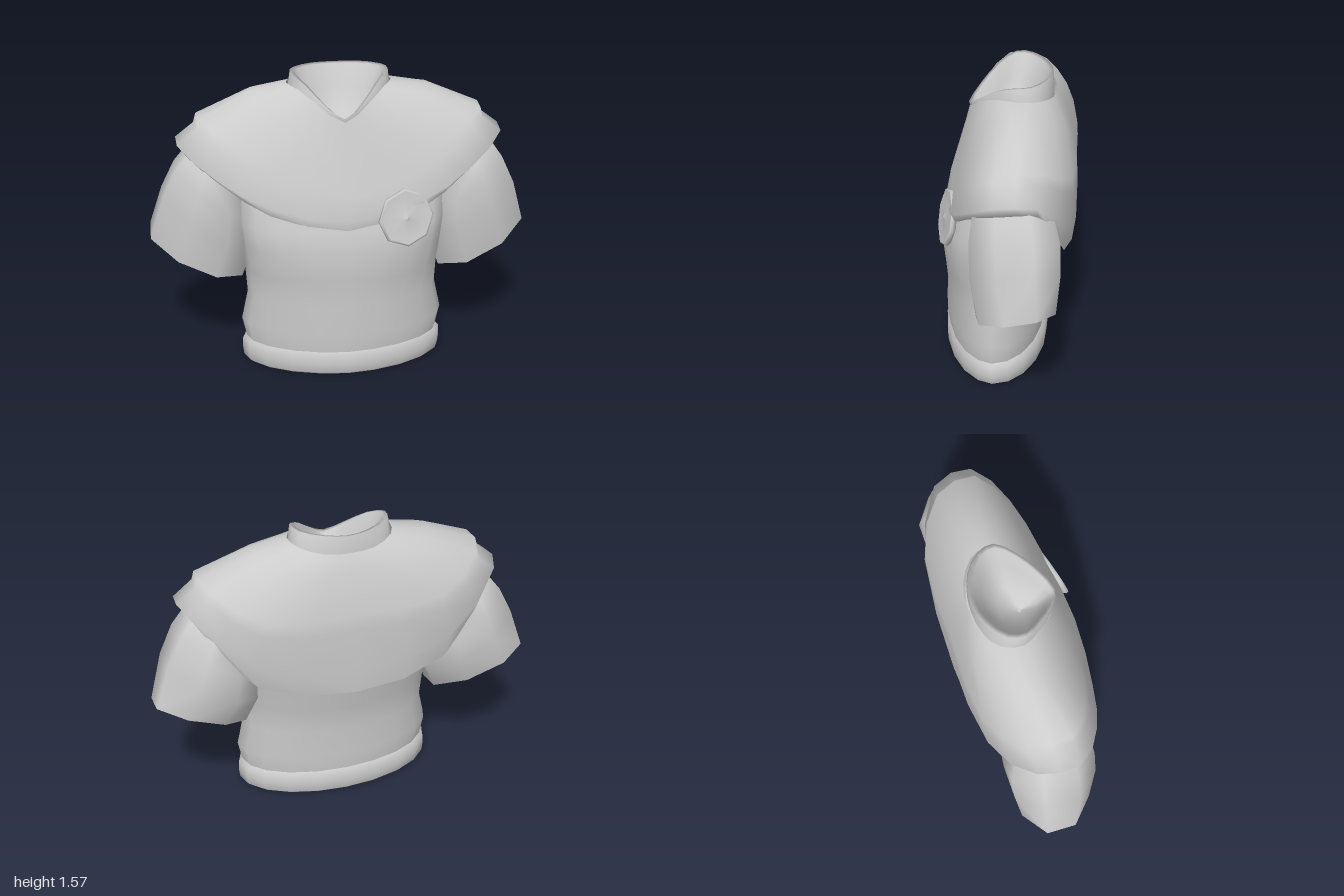
import * as THREE from 'three';

const V = (x, y, z) => new THREE.Vector3(x, y, z);

// Skin closed rings of equal length; capped ends get their own flat vertices.
function loft(rings, capStart = false, capEnd = false) {
  const pos = [], idx = [], n = rings[0].length;
  rings.forEach(r => r.forEach(p => pos.push(p.x, p.y, p.z)));
  for (let i = 0; i < rings.length - 1; i++) {
    for (let j = 0; j < n; j++) {
      const k = (j + 1) % n, a = i * n, b = a + n;
      idx.push(a + j, a + k, b + k, a + j, b + k, b + j);
    }
  }
  const cap = (ring, flip) => {
    const base = pos.length / 3, c = V(0, 0, 0);
    ring.forEach(p => { pos.push(p.x, p.y, p.z); c.addScaledVector(p, 1 / n); });
    pos.push(c.x, c.y, c.z);
    for (let j = 0; j < n; j++) {
      const k = base + (j + 1) % n;
      idx.push(base + n, flip ? k : base + j, flip ? base + j : k);
    }
  };
  if (capStart) cap(rings[0], true);
  if (capEnd) cap(rings[rings.length - 1], false);

  // Turn the faces outward when the enclosed volume comes out negative.
  const at = i => V(pos[i * 3], pos[i * 3 + 1] - 0.7, pos[i * 3 + 2]);
  let volume = 0;
  for (let i = 0; i < idx.length; i += 3) volume += at(idx[i]).dot(at(idx[i + 1]).cross(at(idx[i + 2])));
  if (volume < 0) idx.reverse();

  const g = new THREE.BufferGeometry();
  g.setAttribute('position', new THREE.Float32BufferAttribute(pos, 3));
  g.setIndex(idx);
  g.computeVertexNormals();
  return g;
}

// Half outline from front centre to back centre, mirrored and smoothed.
function mirroredRing(half) {
  const right = half.map(p => V(...p));
  const left = right.slice(1, -1).reverse().map(p => V(-p.x, p.y, p.z));
  const curve = new THREE.CatmullRomCurve3([...right, ...left], true);
  return Array.from({ length: 24 }, (_, i) => curve.getPoint(i / 24));
}

// Trunk section: height, half width, front z, back z, fullness of the front.
function trunkRing([y, w, front, back, full = 1.8]) {
  const c = (front + back) / 2, d = (front - back) / 2;
  return Array.from({ length: 20 }, (_, i) => {
    const a = i / 20 * Math.PI * 2, e = Math.cos(a) > 0 ? 2 / full : 1;
    const soft = v => Math.sign(v) * Math.abs(v) ** e;
    return V(soft(Math.sin(a)) * w, y, c + soft(Math.cos(a)) * d);
  });
}

export function createModel() {
  const group = new THREE.Group();
  const solid = new THREE.MeshStandardMaterial({ color: 0xcccccc });
  const open = new THREE.MeshStandardMaterial({ color: 0xcccccc, side: THREE.DoubleSide });
  const add = (name, geometry, material = solid) => {
    const mesh = new THREE.Mesh(geometry, material);
    mesh.name = name;
    group.add(mesh);
    return mesh;
  };

  // Trunk of the shirt
  add('torso', loft([
    [0.1, 0.51, 0.325, -0.19], [0.24, 0.54, 0.34, -0.205], [0.4, 0.505, 0.33, -0.2, 1.9],
    [0.55, 0.515, 0.34, -0.225, 2.1], [0.7, 0.53, 0.35, -0.26, 2.4], [0.82, 0.545, 0.325, -0.28, 2.6],
    [1.0, 0.54, 0.275, -0.29, 2.5], [1.15, 0.48, 0.215, -0.27, 2.4], [1.22, 0.38, 0.17, -0.23, 2],
  ].map(trunkRing), true, true));

  // Thick band around the bottom
  add('hemBand', loft([
    [0, 0.515, 0.325, -0.195], [0.015, 0.535, 0.34, -0.21], [0.06, 0.54, 0.343, -0.213],
    [0.115, 0.538, 0.342, -0.212], [0.14, 0.505, 0.32, -0.188],
  ].map(trunkRing), true, true));

  // Shoulder cape, neck edge to hem
  add('shoulderCape', loft([
    [[0, 1.37, 0.2], [0.13, 1.45, 0.14], [0.22, 1.5, 0.04], [0.27, 1.51, -0.05], [0.24, 1.5, -0.15], [0.13, 1.48, -0.225], [0, 1.475, -0.24]],
    [[0, 1.2, 0.245], [0.2, 1.3, 0.2], [0.38, 1.42, 0.1], [0.46, 1.48, -0.03], [0.43, 1.46, -0.17], [0.26, 1.39, -0.29], [0, 1.38, -0.295]],
    [[0, 1.0, 0.305], [0.32, 1.12, 0.24], [0.56, 1.26, 0.16], [0.73, 1.36, 0.03], [0.7, 1.34, -0.18], [0.46, 1.2, -0.33], [0, 1.18, -0.345]],
    [[0, 0.97, 0.31], [0.34, 1.07, 0.25], [0.59, 1.21, 0.175], [0.74, 1.31, 0.04], [0.72, 1.29, -0.18], [0.47, 1.13, -0.335], [0, 1.1, -0.35]],
    [[0, 0.88, 0.328], [0.4, 0.96, 0.277], [0.66, 1.1, 0.195], [0.84, 1.23, 0.04], [0.81, 1.22, -0.17], [0.51, 0.95, -0.325], [0, 0.86, -0.355]],
    [[0, 0.83, 0.322], [0.39, 0.91, 0.262], [0.62, 1.05, 0.175], [0.79, 1.16, 0.03], [0.76, 1.15, -0.17], [0.5, 0.82, -0.295], [0, 0.73, -0.35]],
  ].map(mirroredRing)), open);

  // Standing collar with a V front and a bowl-shaped inside
  const lip = mirroredRing([[0, 1.39, 0.205], [0.1, 1.45, 0.15], [0.19, 1.53, 0.06], [0.25, 1.57, -0.03], [0.23, 1.57, -0.12], [0.12, 1.565, -0.2], [0, 1.56, -0.225]]);
  const inset = (s, floor, slope) => lip.map(p => V(p.x * s, floor + (p.y - 1.39) * slope, (p.z - 0.02) * s + 0.02));
  add('collar', loft([
    mirroredRing([[0, 1.35, 0.19], [0.13, 1.43, 0.13], [0.23, 1.48, 0.03], [0.265, 1.48, -0.06], [0.235, 1.47, -0.15], [0.13, 1.45, -0.21], [0, 1.44, -0.23]]),
    lip,
    inset(0.91, 1.385, 1),
    inset(0.75, 1.34, 0.6),
    inset(0.45, 1.28, 0.2),
    inset(0.05, 1.26, 0),
  ], false, true), open);

  // Short sleeves: centre, outward axis and forward axis of each section
  const sections = [
    [[0.52, 1.12, -0.04], [0.1, 0.12, 0], [0, 0, 0.13]],
    [[0.64, 1.07, -0.05], [0.15, 0.12, 0], [0, 0, 0.21]],
    [[0.665, 0.94, -0.06], [0.21, 0.15, 0], [0, 0, 0.236]],
    [[0.7, 0.79, -0.06], [0.25, 0.15, -0.01], [0, -0.01, 0.236]],
    [[0.765, 0.6, -0.065], [0.255, 0.115, -0.035], [0, -0.04, 0.2]],
  ];
  for (const [name, side] of [['leftSleeve', 1], ['rightSleeve', -1]]) {
    add(name, loft(sections.map(([c, u, v]) => Array.from({ length: 8 }, (_, i) => {
      const a = (i + 0.5) / 8 * Math.PI * 2;
      const p = V(...c).addScaledVector(V(...u), Math.cos(a)).addScaledVector(V(...v), Math.sin(a));
      p.x *= side;
      return p;
    })), true, true));
  }

  // Thin eight-sided chest disc with a raised rim and a small centre peak
  const profile = [[0, -0.03], [0.135, -0.025], [0.152, -0.008], [0.15, 0.006], [0.138, 0.01], [0.125, 0.004], [0.03, 0.006], [0, 0.018]];
  const disc = add('chestDisc', new THREE.LatheGeometry(profile.map(p => new THREE.Vector2(...p)), 8));
  disc.position.set(0.3, 0.88, 0.305);
  disc.rotation.set(1.37, 0.25, 0, 'YXZ');
  return group;
}
